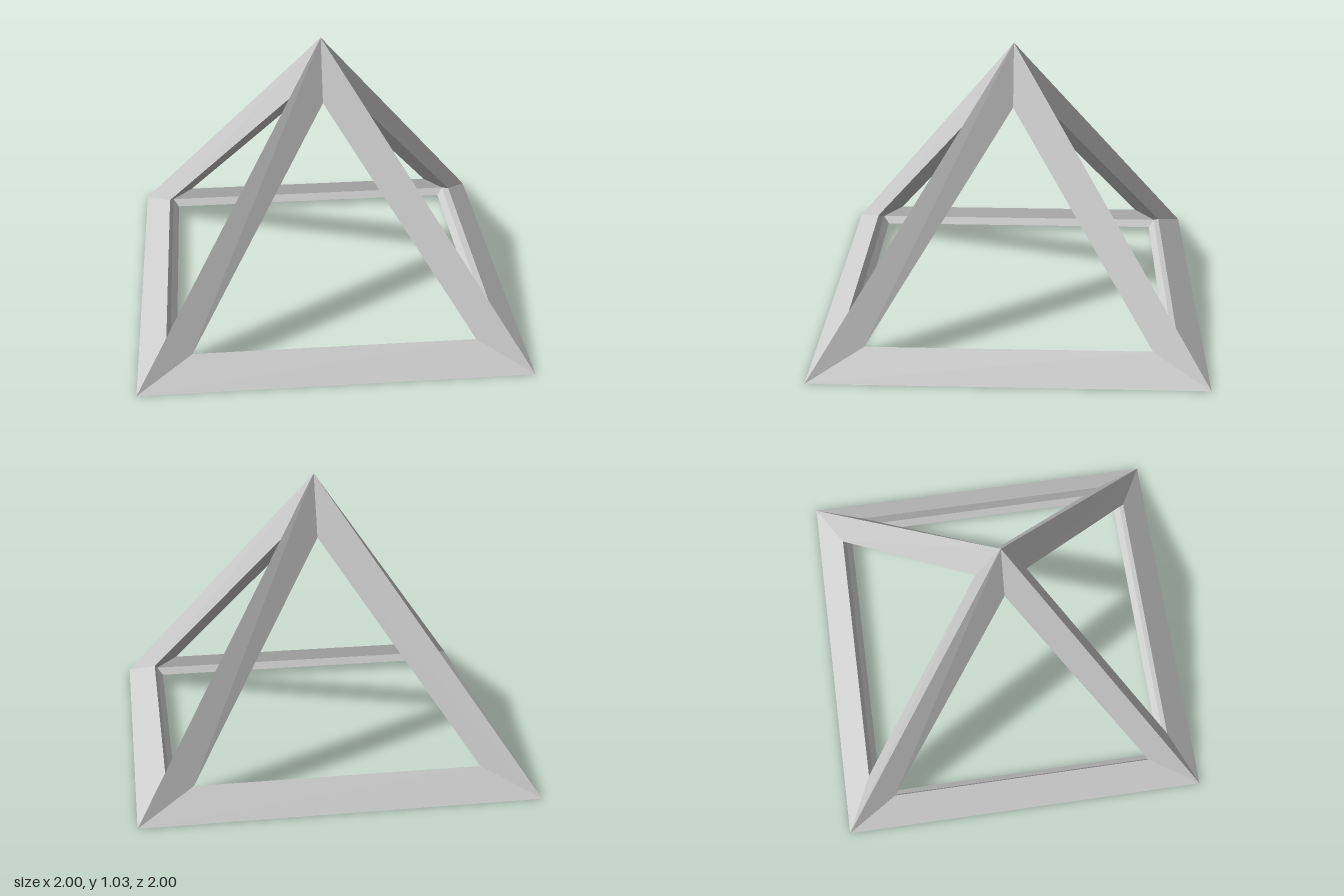
import * as THREE from 'three';

// Open pyramid frame: every edge is a bar of four-sided section, mitred at the corners.
const REACH = 0.9167;   // centre to base corner of the guiding pyramid
const BASE_Y = 0.0249;  // height of its base plane
const RIDGE = 0.087;    // how far ridges stand out of, and into, the guiding pyramid
const INSET = 0.081;    // bar width measured across each face

export function createModel() {
  const group = new THREE.Group();
  group.name = 'pyramidFrame';
  const material = new THREE.MeshStandardMaterial({ color: 0xcccccc, flatShading: true });

  // Guiding pyramid: four base corners, then the apex
  const corners = [];
  for (let i = 0; i < 4; i++) {
    const a = i * Math.PI / 2;
    corners.push(new THREE.Vector3(REACH * Math.sin(a), BASE_Y, REACH * Math.cos(a)));
  }
  corners.push(new THREE.Vector3(0, BASE_Y + REACH, 0));
  const faces = [
    ['frontLeftFrame', [0, 1, 4]],
    ['backLeftFrame', [1, 2, 4]],
    ['backRightFrame', [2, 3, 4]],
    ['frontRightFrame', [3, 0, 4]],
    ['baseFrame', [3, 2, 1, 0]],
  ];

  // Opening corners of each face, and angle-weighted normals at the pyramid corners
  const normals = corners.map(() => new THREE.Vector3());
  const openings = faces.map(([, ids]) => ids.map((id, k) => {
    const n = ids.length, p = corners[id];
    const next = corners[ids[(k + 1) % n]].clone().sub(p).normalize();
    const prev = corners[ids[(k + n - 1) % n]].clone().sub(p).normalize();
    const angle = next.angleTo(prev);
    const normal = new THREE.Vector3().crossVectors(next, prev).normalize();
    normals[id].addScaledVector(normal, angle);
    return p.clone().addScaledVector(next.add(prev), INSET / Math.sin(angle));
  }));
  normals.forEach((n) => n.normalize());
  const outer = corners.map((p, i) => p.clone().addScaledVector(normals[i], RIDGE));
  const inner = corners.map((p, i) => p.clone().addScaledVector(normals[i], -RIDGE));

  // Each face: outer strip from ridge to opening, inner strip from opening to inner ridge
  faces.forEach(([name, ids], f) => {
    const points = [];
    const quad = (a, b, c, d) => points.push(a, b, c, a, c, d);
    ids.forEach((id, k) => {
      const m = (k + 1) % ids.length, nextId = ids[m];
      const hole = openings[f];
      quad(outer[id], outer[nextId], hole[m], hole[k]);
      quad(hole[k], hole[m], inner[nextId], inner[id]);
    });
    const geometry = new THREE.BufferGeometry().setFromPoints(points);
    geometry.computeVertexNormals();
    const mesh = new THREE.Mesh(geometry, material);
    mesh.name = name;
    group.add(mesh);
  });

  return group;
}
